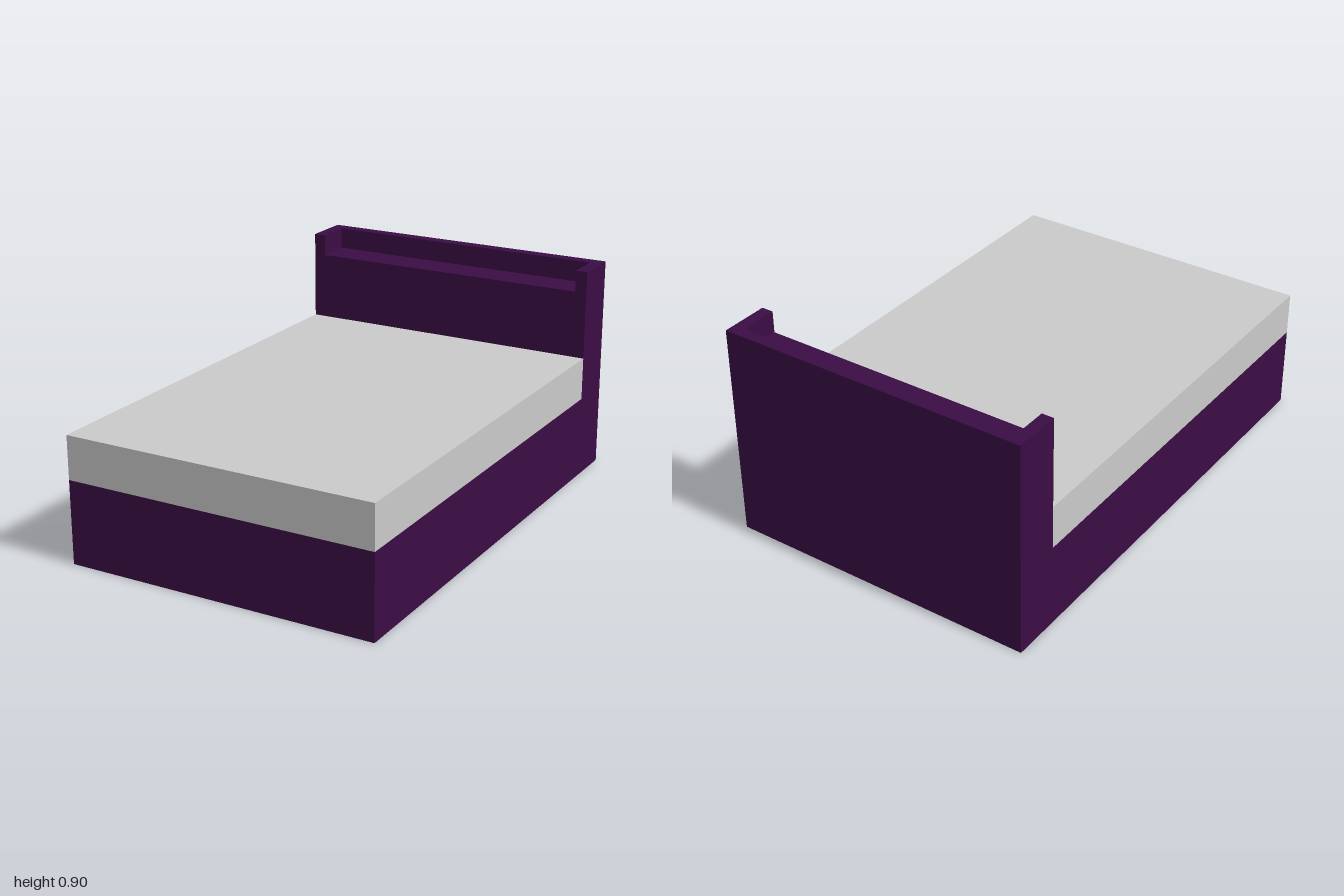
import * as THREE from 'three';

const WIDTH = 1.31, HALF = WIDTH / 2;
const BACK = -1, FRONT = 1, BOARD_FRONT = -0.8;
const BASE_TOP = 0.345, MATTRESS_TOP = 0.525, SHELF_Y = 0.81, BOARD_TOP = 0.9;
const RIM = 0.05;

export function createModel() {
  const group = new THREE.Group();
  const frameMaterial = new THREE.MeshStandardMaterial({ color: 0x3b0d45 });
  frameMaterial.name = 'dark purple frame';
  const mattressMaterial = new THREE.MeshStandardMaterial({ color: 0xcacaca });
  mattressMaterial.name = 'light grey mattress';

  const add = (name, geometry, material) => {
    const mesh = new THREE.Mesh(geometry, material);
    mesh.name = name;
    group.add(mesh);
    return mesh;
  };

  // Bed base and headboard body: one L-shaped side profile (z, y) swept across the width
  const profile = new THREE.Shape([
    [FRONT, 0], [FRONT, BASE_TOP], [BOARD_FRONT, BASE_TOP],
    [BOARD_FRONT, SHELF_Y], [BACK, SHELF_Y], [BACK, 0],
  ].map(([z, y]) => new THREE.Vector2(-z, y)));
  const frame = new THREE.ExtrudeGeometry(profile, { depth: WIDTH, bevelEnabled: false });
  frame.translate(0, 0, -HALF).rotateY(Math.PI / 2);
  add('bedFrame', frame, frameMaterial);

  // Headboard rim: U-shaped wall round the shelf, open to the front
  const inner = HALF - RIM;
  const rimShape = new THREE.Shape([
    [-HALF, BOARD_FRONT], [-HALF, BACK], [HALF, BACK], [HALF, BOARD_FRONT],
    [inner, BOARD_FRONT], [inner, BACK + RIM], [-inner, BACK + RIM], [-inner, BOARD_FRONT],
  ].map(([x, z]) => new THREE.Vector2(x, -z)));
  const rim = new THREE.ExtrudeGeometry(rimShape, { depth: BOARD_TOP - SHELF_Y, bevelEnabled: false });
  rim.rotateX(-Math.PI / 2).translate(0, SHELF_Y, 0);
  add('headboardShelfRim', rim, frameMaterial);

  // Mattress
  const mattress = add('mattress',
    new THREE.BoxGeometry(WIDTH, MATTRESS_TOP - BASE_TOP, FRONT - BOARD_FRONT), mattressMaterial);
  mattress.position.set(0, (MATTRESS_TOP + BASE_TOP) / 2, (FRONT + BOARD_FRONT) / 2);

  return group;
}
